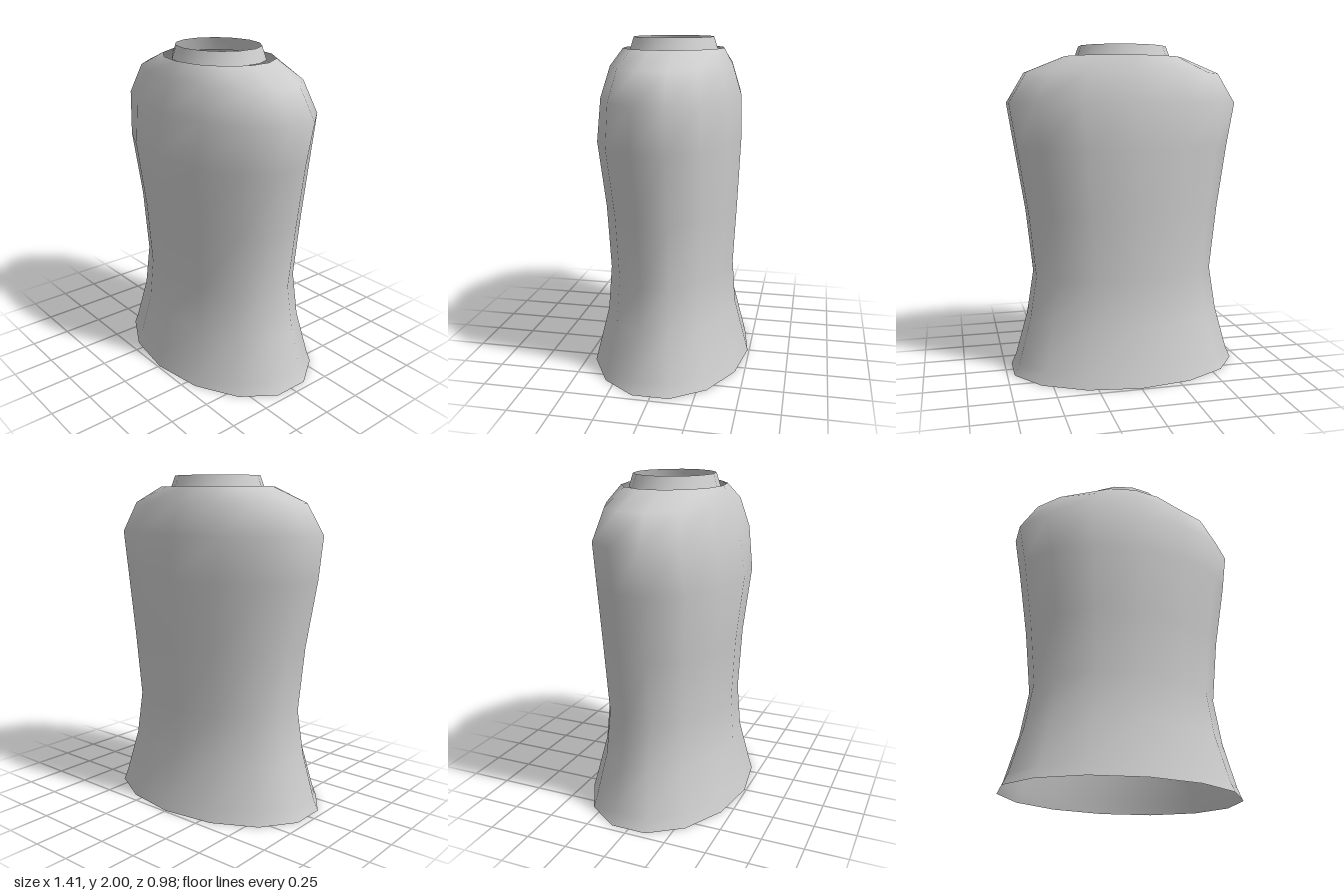
import * as THREE from 'three';

const SIDES = 14;

// Skin a smooth open tube over oval rings given as [y, rx, zFront, zBack]
function loft(name, rings, material) {
  const pos = [], index = [];
  rings.forEach(([y, rx, front, back]) => {
    const rz = (front + back) / 2, cz = (front - back) / 2;
    for (let j = 0; j < SIDES; j++) {
      const a = (j / SIDES) * Math.PI * 2;
      pos.push(Math.sin(a) * rx, y, cz + Math.cos(a) * rz);
    }
  });
  for (let i = 0; i < rings.length - 1; i++) {
    for (let j = 0; j < SIDES; j++) {
      const k = (j + 1) % SIDES;
      const a = i * SIDES + j, b = i * SIDES + k;
      index.push(a, b, b + SIDES, a, b + SIDES, a + SIDES);
    }
  }
  const geo = new THREE.BufferGeometry();
  geo.setAttribute('position', new THREE.Float32BufferAttribute(pos, 3));
  geo.setIndex(index);
  geo.computeVertexNormals();
  const mesh = new THREE.Mesh(geo, material);
  mesh.name = name;
  return mesh;
}

export function createModel() {
  const group = new THREE.Group();
  group.name = 'torso';
  const grey = new THREE.MeshStandardMaterial({ color: 0xcccccc, side: THREE.DoubleSide });
  grey.name = 'light grey';

  // Body shell, open at hem and neck: flared hem, waist, chest, shoulders
  group.add(loft('body', [
    [0, 0.724, 0.49, 0.49],
    [0.07, 0.692, 0.472, 0.472],
    [0.34, 0.617, 0.402, 0.4],
    [0.61, 0.573, 0.383, 0.38],
    [1.0, 0.615, 0.402, 0.4],
    [1.4, 0.679, 0.447, 0.417],
    [1.66, 0.723, 0.413, 0.412],
    [1.84, 0.612, 0.36, 0.357],
    [1.935, 0.372, 0.305, 0.305],
  ], grey));

  // Loose tapered collar sitting inside the neck opening
  group.add(loft('collar', [
    [1.92, 0.3, 0.268, 0.268],
    [2, 0.27, 0.243, 0.243],
  ], grey));

  return group;
}
